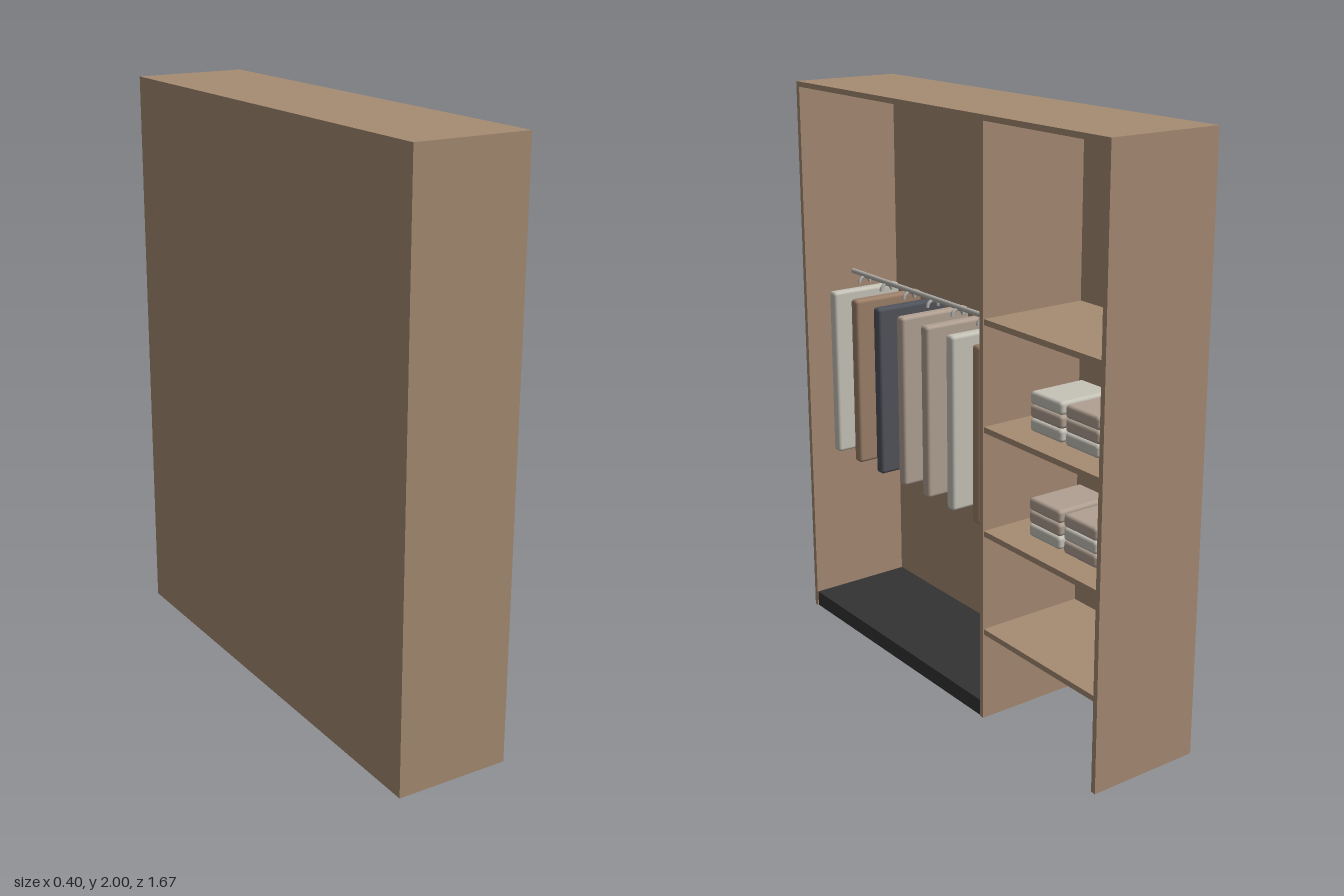
import * as THREE from 'three';
import { RoundedBoxGeometry } from 'three/addons/geometries/RoundedBoxGeometry.js';

const mat = (name, color) => {
  const m = new THREE.MeshStandardMaterial({ color });
  m.name = name;
  return m;
};

export function createModel() {
  const wood = mat('wood', 0xa68b73);
  const dark = mat('plinthBlack', 0x333333);
  const metal = mat('metal', 0xb4b2ad);
  const panel = mat('lightPanel', 0xc8cac4);
  const cream = mat('creamCloth', 0xc6c3b8);
  const beige = mat('beigeCloth', 0xb0a092);
  const brown = mat('brownCloth', 0x9c8069);
  const slate = mat('slateCloth', 0x50535b);

  const root = new THREE.Group();
  root.name = 'openWardrobe';

  const add = (name, geo, material, x, y, z, parent = root) => {
    const mesh = new THREE.Mesh(geo, material);
    mesh.name = name;
    mesh.position.set(x, y, z);
    parent.add(mesh);
    return mesh;
  };
  // Box given by its limits on each axis
  const slab = (name, material, x0, x1, y0, y1, z0, z1) =>
    add(name, new THREE.BoxGeometry(x1 - x0, y1 - y0, z1 - z0), material,
      (x0 + x1) / 2, (y0 + y1) / 2, (z0 + z1) / 2);

  // Carcass, open towards +x
  const T = 0.018, X = 0.2, Z = 0.835;
  slab('backPanel', wood, -X, -X + 0.01, 0, 2, -Z, Z);
  slab('topPanel', wood, -X + 0.01, X, 2 - T, 2, -Z, Z);
  slab('frontSidePanel', wood, -X + 0.01, X, 0, 2 - T, Z - T, Z);
  slab('rearSidePanel', wood, -X + 0.01, X, 0, 2 - T, -Z, -Z + T);
  slab('divider', wood, -X + 0.01, X, 0, 2 - T, -0.26, -0.242);
  slab('plinth', dark, -X + 0.002, X - 0.003, 0.001, 0.057, -0.242, Z - T);

  // Shelves with a pale panel set under each one
  for (const y of [0.327, 0.675, 1.028, 1.378]) {
    slab('shelf', wood, -X + 0.01, X - 0.003, y - 0.019, y, -Z + T, -0.26);
    slab('shelfLightPanel', panel, -X + 0.01, X - 0.03, y - 0.023, y - 0.019, -Z + T, -0.26);
  }

  // Hanging rail
  const rail = add('hangingRail', new THREE.CylinderGeometry(0.009, 0.009, 1.06, 16), metal, 0, 1.3, 0.288);
  rail.rotation.x = Math.PI / 2;

  // Clothes on hooks
  const garmentGeo = new RoundedBoxGeometry(0.28, 0.61, 0.04, 3, 0.012);
  const hookGeo = new THREE.TorusGeometry(0.022, 0.006, 8, 16, Math.PI);
  [cream, brown, slate, beige, beige, cream, brown].forEach((cloth, i) => {
    const hanger = new THREE.Group();
    hanger.name = 'hangingGarment';
    hanger.position.z = 0.74 - i * 0.146;
    add('garment', garmentGeo, cloth, 0, 0.95, 0, hanger);
    add('hook', hookGeo, metal, 0, 1.27, 0, hanger);
    root.add(hanger);
  });

  // Folded stacks, layers listed from the bottom up
  const foldGeo = new RoundedBoxGeometry(0.21, 0.043, 0.154, 3, 0.012);
  const stacks = [
    [1.028, -0.451, [cream, beige, cream]],
    [1.028, -0.623, [cream, beige, beige]],
    [0.675, -0.451, [cream, beige, beige]],
    [0.675, -0.623, [beige, cream, beige]],
  ];
  for (const [y, z, layers] of stacks) {
    layers.forEach((cloth, i) =>
      add('foldedCloth', foldGeo, cloth, 0, y + 0.022 + i * 0.044, z));
  }
  return root;
}
